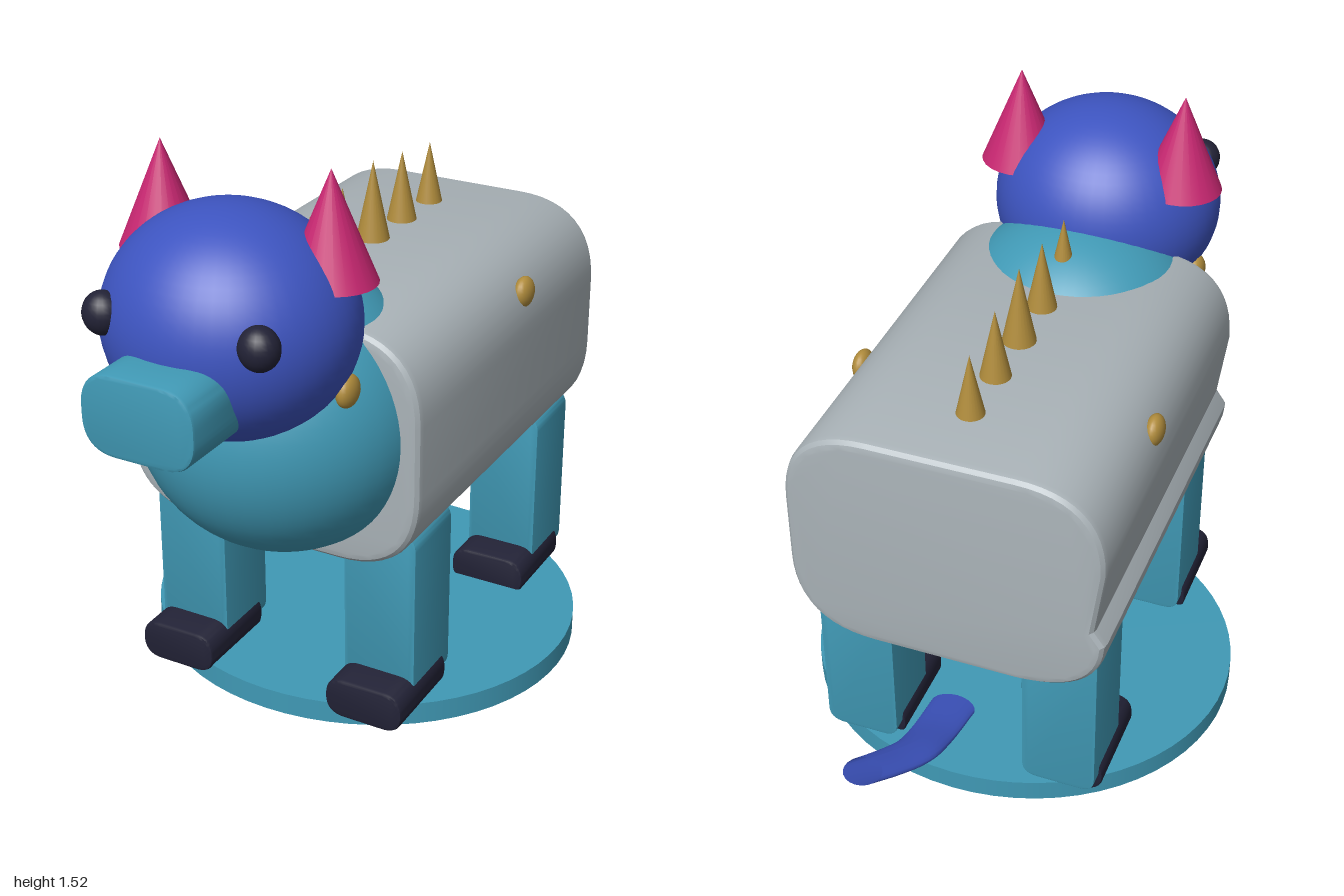
import * as THREE from 'three';
import { toCreasedNormals } from 'three/addons/utils/BufferGeometryUtils.js';

const paint = (name, color) => {
  const m = new THREE.MeshStandardMaterial({ color });
  m.name = name;
  return m;
};

// Rounded rectangle in x/y, extruded along z and centred on the origin
function roundedPrism(w, h, d, r, bevel = 0.008) {
  const x = w / 2 - bevel, y = h / 2 - bevel;
  const s = new THREE.Shape();
  s.moveTo(-x + r, -y);
  s.lineTo(x - r, -y);
  s.quadraticCurveTo(x, -y, x, -y + r);
  s.lineTo(x, y - r);
  s.quadraticCurveTo(x, y, x - r, y);
  s.lineTo(-x + r, y);
  s.quadraticCurveTo(-x, y, -x, y - r);
  s.lineTo(-x, -y + r);
  s.quadraticCurveTo(-x, -y, -x + r, -y);
  return extrude(s, d, bevel, 2);
}

function extrude(shape, d, bevel, bevelSegments) {
  const g = new THREE.ExtrudeGeometry(shape, {
    depth: d - 2 * bevel, bevelSize: bevel, bevelThickness: bevel, bevelSegments, curveSegments: 12,
  });
  g.translate(0, 0, bevel - d / 2);
  return toCreasedNormals(g, 0.5);
}

// Body outline: rounded block with a crease low on its right flank
function bodyGeometry() {
  const w = 0.388, y0 = 0.5, y1 = 1.085, r = 0.2;
  const s = new THREE.Shape();
  s.moveTo(-w + r, y0);
  s.lineTo(w - r, y0);
  s.quadraticCurveTo(w, y0, w, y0 + r);
  s.lineTo(w, y1 - r);
  s.quadraticCurveTo(w, y1, w - r, y1);
  s.lineTo(-w + r, y1);
  s.quadraticCurveTo(-w, y1, -w, y1 - r);
  s.lineTo(-0.362, 0.69);
  s.lineTo(-0.39, 0.65);
  s.quadraticCurveTo(-w + 0.005, y0 + 0.01, -w + r, y0);
  return extrude(s, 1.07, 0.025, 3);
}

// Tail: near-horizontal rings stacked along a rising, sideways-bending path
function tailGeometry() {
  const path = new THREE.CatmullRomCurve3([
    [0, 0.28, -0.57], [0, 0.31, -0.7], [0.005, 0.345, -0.8], [0.035, 0.375, -0.88], [0.07, 0.407, -0.955],
  ].map((p) => new THREE.Vector3(...p)));
  const g = new THREE.CylinderGeometry(1, 1, 1, 20, 16, true);
  const pos = g.attributes.position;
  for (let i = 0; i < pos.count; i++) {
    const t = pos.getY(i) + 0.5;
    const c = path.getPoint(t);
    const dz = pos.getZ(i) * (0.032 + 0.013 * t);
    const dx = pos.getX(i) * (0.06 - 0.012 * t);
    pos.setXYZ(i, c.x + dx, c.y + dz * 0.35 * (1 - t), c.z + dz);
  }
  g.computeVertexNormals();
  return g;
}

export function createModel() {
  const model = new THREE.Group();
  model.name = 'animalFigure';

  const teal = paint('teal', 0x4099b5);
  const grey = paint('grey', 0xa9b2b7);
  const blue = paint('blue', 0x3d54c0);
  const pink = paint('pink', 0xc92772);
  const gold = paint('gold', 0xb08c3c);
  const dark = paint('dark', 0x222236);
  blue.side = THREE.DoubleSide;

  const add = (name, geometry, material, x = 0, y = 0, z = 0) => {
    const m = new THREE.Mesh(geometry, material);
    m.name = name;
    m.position.set(x, y, z);
    model.add(m);
    return m;
  };
  const ball = (name, material, [x, y, z], [rx, ry, rz], seg = 40) =>
    add(name, new THREE.SphereGeometry(1, seg, Math.round(seg * 0.7)), material, x, y, z).scale.set(rx, ry, rz);
  // Cone standing on height y
  const cone = (name, material, x, y, z, r, h) =>
    add(name, new THREE.ConeGeometry(r, h, 24), material, x, y + h / 2, z);

  // Stand
  add('stand', new THREE.CylinderGeometry(1, 1, 0.06, 64), teal, 0, 0.03, -0.045).scale.set(0.588, 1, 0.55);

  // Trunk, chest, head
  add('body', bodyGeometry(), grey, 0, 0, -0.075);
  ball('chest', teal, [0, 0.832, 0.382], [0.374, 0.367, 0.366], 48);
  ball('head', blue, [0, 1.145, 0.608], [0.311, 0.281, 0.29], 48);
  add('snout', roundedPrism(0.296, 0.2, 0.25, 0.08), teal, 0, 1.045, 0.875);

  // Mirrored parts
  for (const side of [1, -1]) {
    const s = side > 0 ? 'left' : 'right';
    ball(s + 'Eye', dark, [side * 0.205, 1.197, 0.82], [0.05, 0.053, 0.046], 20);
    cone(s + 'Ear', pink, side * 0.226, 1.26, 0.537, 0.11, 0.263).scale.z = 0.93;
    ball(s + 'FlankStud', gold, [side * 0.39, 1, -0.176], [0.025, 0.042, 0.042], 20);
    ball(s + 'ShoulderStud', gold, [side * 0.276, 1, 0.555], [0.025, 0.042, 0.042], 20);
    for (const [end, legZ, footZ] of [['Front', 0.3, 0.362], ['Back', -0.44, -0.375]]) {
      add(s + end + 'Leg', roundedPrism(0.2, 0.49, 0.2, 0.04, 0.003), teal, side * 0.278, 0.315, legZ);
      add(s + end + 'Foot', roundedPrism(0.217, 0.11, 0.256, 0.045), dark, side * 0.279, 0.09, footZ);
    }
  }

  // Row of back spikes, tallest in the middle
  for (let i = -2; i <= 2; i++) {
    const k = Math.abs(i);
    cone('backSpike', gold, 0, 1.1, -0.08 - i * 0.162, 0.046 - k * 0.004, 0.22 - k * 0.022);
  }

  add('tail', tailGeometry(), blue);
  return model;
}
